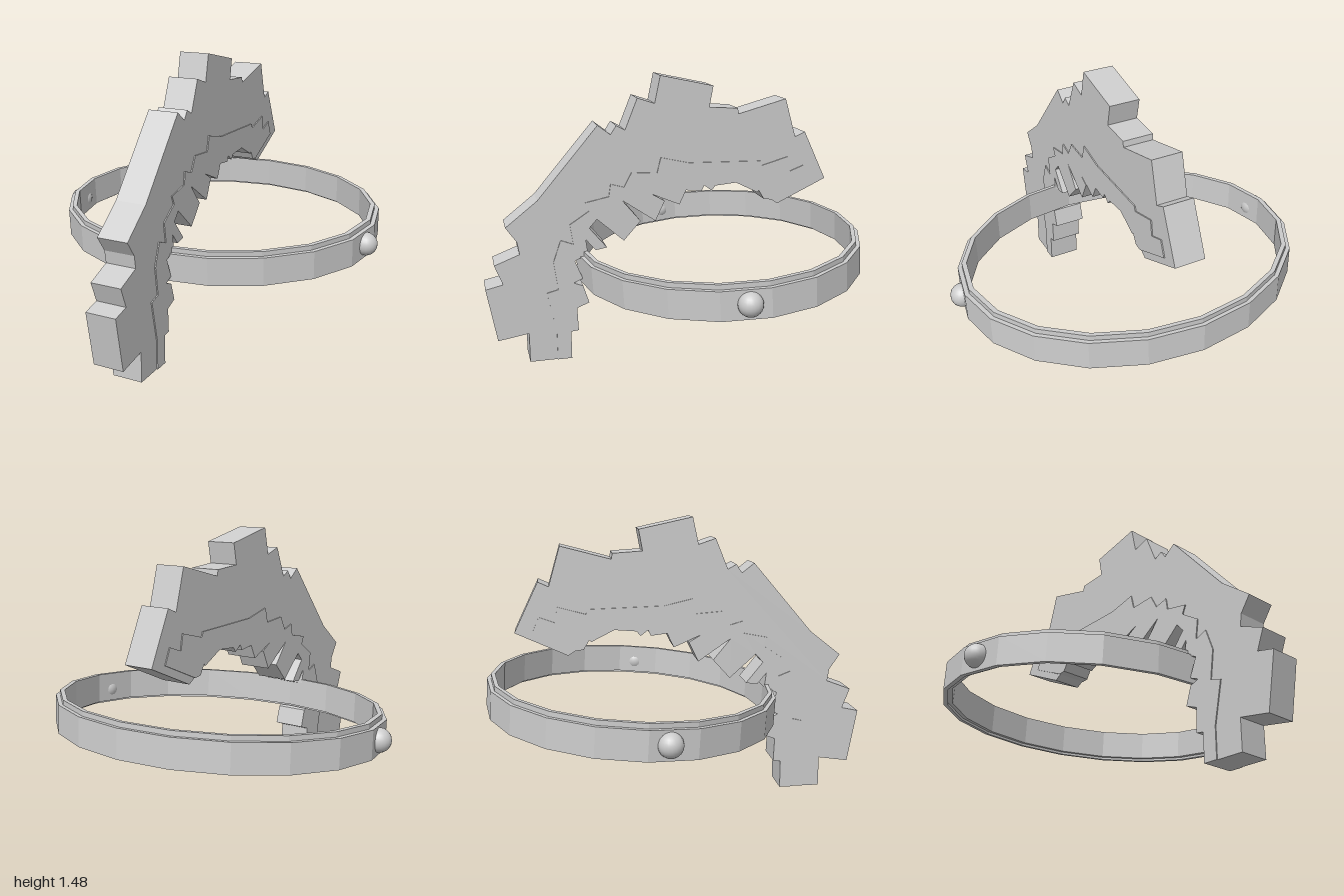
import * as THREE from 'three';

export function createModel() {
  const model = new THREE.Group();
  const grey = new THREE.MeshStandardMaterial({ color: 0xcccccc });
  grey.name = 'light grey';

  const add = (name, geometry) => {
    const mesh = new THREE.Mesh(geometry, grey);
    mesh.name = name;
    model.add(mesh);
    return mesh;
  };

  // Extrudes a side profile of [z, y] points across x, centred on x = 0.
  const slab = (points, width) => {
    const shape = new THREE.Shape(points.map(([z, y]) => new THREE.Vector2(z, y)));
    return new THREE.ExtrudeGeometry(shape, { depth: width, bevelEnabled: false })
      .translate(0, 0, -width / 2)
      .rotateY(-Math.PI / 2);
  };

  // Stepped outer edge of the crest, from the foot over the top to the far tip
  const outerEdge = [
    [0.79, 0], [0.79, 0.16], [0.95, 0.135], [1, 0.42], [0.91, 0.44], [0.95, 0.545],
    [0.82, 0.595], [0.83, 0.66], [0.885, 0.74], [0.72, 0.87], [0.405, 1.24], [0.34, 1.19],
    [0.31, 1.235], [0.265, 1.21], [0.2, 1.37], [0.11, 1.34], [0.08, 1.48], [-0.2, 1.42],
    [-0.18, 1.31], [-0.335, 1.3], [-0.34, 1.27], [-0.6, 1.34], [-0.66, 1.135],
    [-0.715, 1.16], [-0.84, 0.9], [-0.57, 0.775],
  ];

  // Step between the crest and its slightly wider inner band
  const seam = [
    [0.645, 0], [0.645, 0.16], [0.69, 0.375], [0.63, 0.39], [0.65, 0.54], [0.61, 0.655],
    [0.545, 0.63], [0.56, 0.735], [0.46, 0.8], [0.48, 0.845], [0.355, 0.87], [0.345, 0.935],
    [0.275, 0.915], [0.235, 0.99], [0.1, 0.98], [0.08, 1.06], [-0.07, 1.025], [-0.465, 1.015],
    [-0.475, 0.99], [-0.62, 1.03], [-0.635, 0.95], [-0.715, 0.98], [-0.75, 0.9],
    [-0.53, 0.8],
  ];

  // Toothed underside, from the far tip back down to the foot
  const teeth = [
    [-0.49, 0.805], [-0.46, 0.855], [-0.45, 0.845], [-0.33, 0.905], [-0.215, 0.895],
    [-0.195, 0.87], [-0.155, 0.9], [-0.14, 0.87], [-0.055, 0.88], [-0.02, 0.805],
    [0.13, 0.87], [0.06, 0.83], [0.11, 0.725], [0.285, 0.845], [0.19, 0.73], [0.28, 0.63],
    [0.42, 0.755], [0.46, 0.71], [0.37, 0.6], [0.43, 0.59], [0.48, 0.65], [0.47, 0.57],
    [0.54, 0.54], [0.5, 0.44], [0.55, 0.42], [0.5, 0.4], [0.47, 0.305], [0.535, 0.28],
    [0.53, 0.155], [0.57, 0.15], [0.57, 0],
  ];

  add('crest', slab([...outerEdge, ...[...seam].reverse()], 0.16));
  add('innerBand', slab([...seam, ...teeth], 0.172));

  // Tilted oval headband with a raised inner lip
  const profile = [
    [0.888, -0.073], [0.888, 0.073], [0.865, 0.073], [0.865, 0.098],
    [0.84, 0.098], [0.84, -0.06], [0.865, -0.06], [0.865, -0.073], [0.888, -0.073],
  ].map(([r, y]) => new THREE.Vector2(r, y));
  const ringGeometry = new THREE.LatheGeometry(profile, 20)
    .scale(1, 1, 0.855)
    .toNonIndexed();
  ringGeometry.computeVertexNormals();
  const ring = add('headband', ringGeometry);
  ring.position.set(0, 0.533, -0.24);
  ring.rotation.x = 0.06;

  // Round studs on both sides of the headband
  for (const [name, side] of [['leftStud', 1], ['rightStud', -1]]) {
    add(name, new THREE.SphereGeometry(0.06, 20, 14)).position.set(side * 0.873, 0.53, -0.14);
  }

  return model;
}
